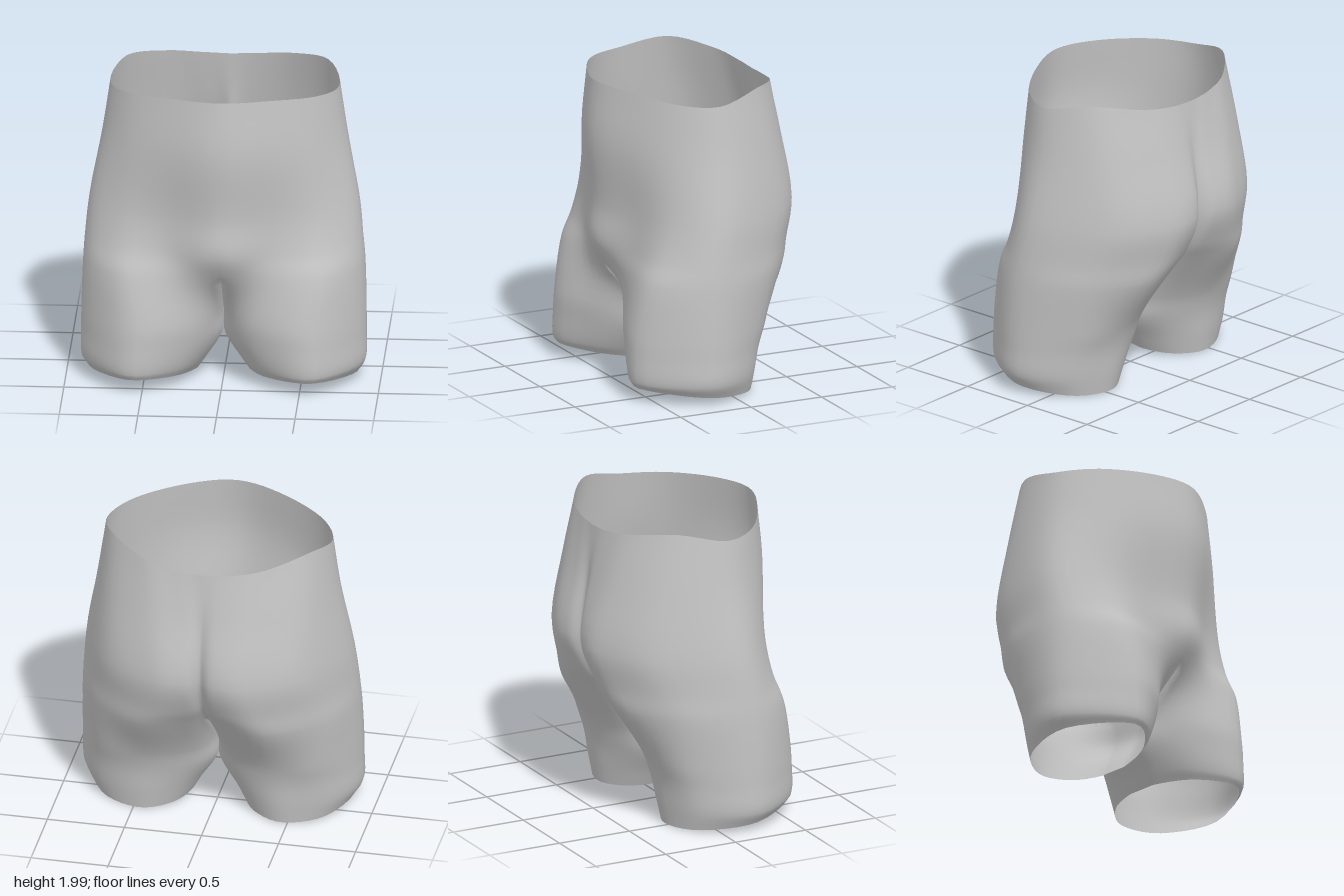
import * as THREE from 'three';
import { mergeVertices } from 'three/addons/utils/BufferGeometryUtils.js';

// Cross-sections of the left half. side holds x,z pairs round the hip; the ends lie at x = inner (or 0)
const SECTIONS = [
  { y: 1.95, front: .61, side: [.3, .52, .6, .33, .73, .08, .64, -.22, .4, -.43, .18, -.495], back: -.505 },
  { y: 1.6, front: .645, side: [.31, .55, .63, .35, .78, .06, .65, -.32, .36, -.525, .12, -.56], back: -.535 },
  { y: 1.17, front: .61, side: [.33, .51, .67, .38, .86, .09, .66, -.4, .32, -.62, .1, -.635], back: -.565 },
  { y: .93, front: .625, side: [.32, .52, .66, .45, .885, .15, .71, -.32, .36, -.565, .1, -.55], back: -.47 },
  { y: .77, front: .55, side: [.29, .535, .65, .525, .895, .19, .76, -.25, .42, -.505, .13, -.45], back: -.33 },
  { y: .45, inner: .006, front: .27, side: [.2, .51, .6, .6, .905, .22, .74, -.21, .42, -.325, .13, -.22], back: 0 },
  { y: .3, inner: .01, front: .23, side: [.22, .5, .6, .61, .905, .23, .75, -.16, .44, -.275, .16, -.18], back: .02 },
  { y: .13, inner: .11, front: .22, side: [.27, .48, .6, .61, .9, .24, .76, -.12, .46, -.25, .22, -.15], back: .04 },
];
const WAIST = [1.98, 1.97, 1.94, 1.93, 1.99, 1.95, 1.92, 1.91];  // uneven waist edge
const CROTCH = 4;   // section where the legs divide
const COLS = 35, STEPS = 5, INNER = 6;

// Control points of one section, from front centre to back centre
function controlPoints({ y, inner = 0, front, side, back }) {
  const flat = [inner, front, ...side, inner, back];
  return WAIST.map((_, k) => new THREE.Vector3(flat[2 * k], y, flat[2 * k + 1]));
}

// Smooth curve round one section
function ringPoints(pts, i) {
  // A mirrored extra point keeps the belly smooth across the centre; legs are closed rings
  const belly = i <= CROTCH;
  if (belly) pts = [new THREE.Vector3(-pts[1].x, pts[1].y, pts[1].z), ...pts];
  const curve = new THREE.CatmullRomCurve3(pts, !belly, 'catmullrom', 0.5);
  const start = belly ? 1 / 8 : 0;
  return Array.from({ length: COLS + 1 }, (_, c) => curve.getPoint(start + 7 / 8 * c / COLS));
}

// Rows of points down the garment, from waist to hem
function buildRows() {
  const controls = SECTIONS.map(controlPoints);
  controls[0].forEach((v, k) => { v.y = WAIST[k]; });
  // The hem draws in a little round the leg and slopes down to the back
  controls.push(controls[controls.length - 1].map(v => {
    const z = .18 + (v.z - .18) * .95;
    return new THREE.Vector3(.53 + (v.x - .53) * .87, .025 + .11 * z, z);
  }));
  const rings = controls.map(ringPoints);
  const rowCount = (rings.length - 1) * STEPS;
  const rows = Array.from({ length: rowCount + 1 }, () => []);
  for (let c = 0; c <= COLS; c++) {
    const curve = new THREE.CatmullRomCurve3(rings.map(r => r[c]), false, 'centripetal');
    for (let r = 0; r <= rowCount; r++) {
      const v = curve.getPoint(r / rowCount);
      // Below the crotch the thighs stay just clear of each other
      v.x = Math.max(v.x, r > CROTCH * STEPS ? .003 : 0);
      v.y = Math.max(v.y, 0);
      rows[r].push(v);
    }
  }
  return rows;
}

// Straight rows of points across the inner thigh, from back to front
function innerRows(rows) {
  return rows.slice(CROTCH * STEPS).map(row =>
    Array.from({ length: INNER + 1 }, (_, k) => row[COLS].clone().lerp(row[0], k / INNER)));
}

// Adds a grid of points as triangles, mirrored when side is -1
function addGrid(out, grid, side) {
  const put = (...vs) => {
    if (side < 0) vs.reverse();
    for (const v of vs) out.push(v.x * side, v.y, v.z);
  };
  for (let r = 0; r < grid.length - 1; r++) {
    for (let c = 0; c < grid[r].length - 1; c++) {
      const a = grid[r][c], b = grid[r + 1][c], d = grid[r + 1][c + 1], e = grid[r][c + 1];
      put(a, b, d);
      put(a, d, e);
    }
  }
}

function panelMesh(name, grids, material) {
  const out = [];
  for (const side of [1, -1]) for (const grid of grids) addGrid(out, grid, side);
  let geometry = new THREE.BufferGeometry();
  geometry.setAttribute('position', new THREE.Float32BufferAttribute(out, 3));
  geometry = mergeVertices(geometry, 1e-4);
  geometry.computeVertexNormals();
  const mesh = new THREE.Mesh(geometry, material);
  mesh.name = name;
  return mesh;
}

export function createModel() {
  const group = new THREE.Group();
  group.name = 'shorts';
  const cloth = new THREE.MeshStandardMaterial({ color: 0xc4c4c4, side: THREE.DoubleSide });
  cloth.name = 'grey cloth';

  // Waist, hips and both legs form one continuous open shell
  const rows = buildRows();
  group.add(panelMesh('shortsShell', [rows, innerRows(rows)], cloth));
  return group;
}
